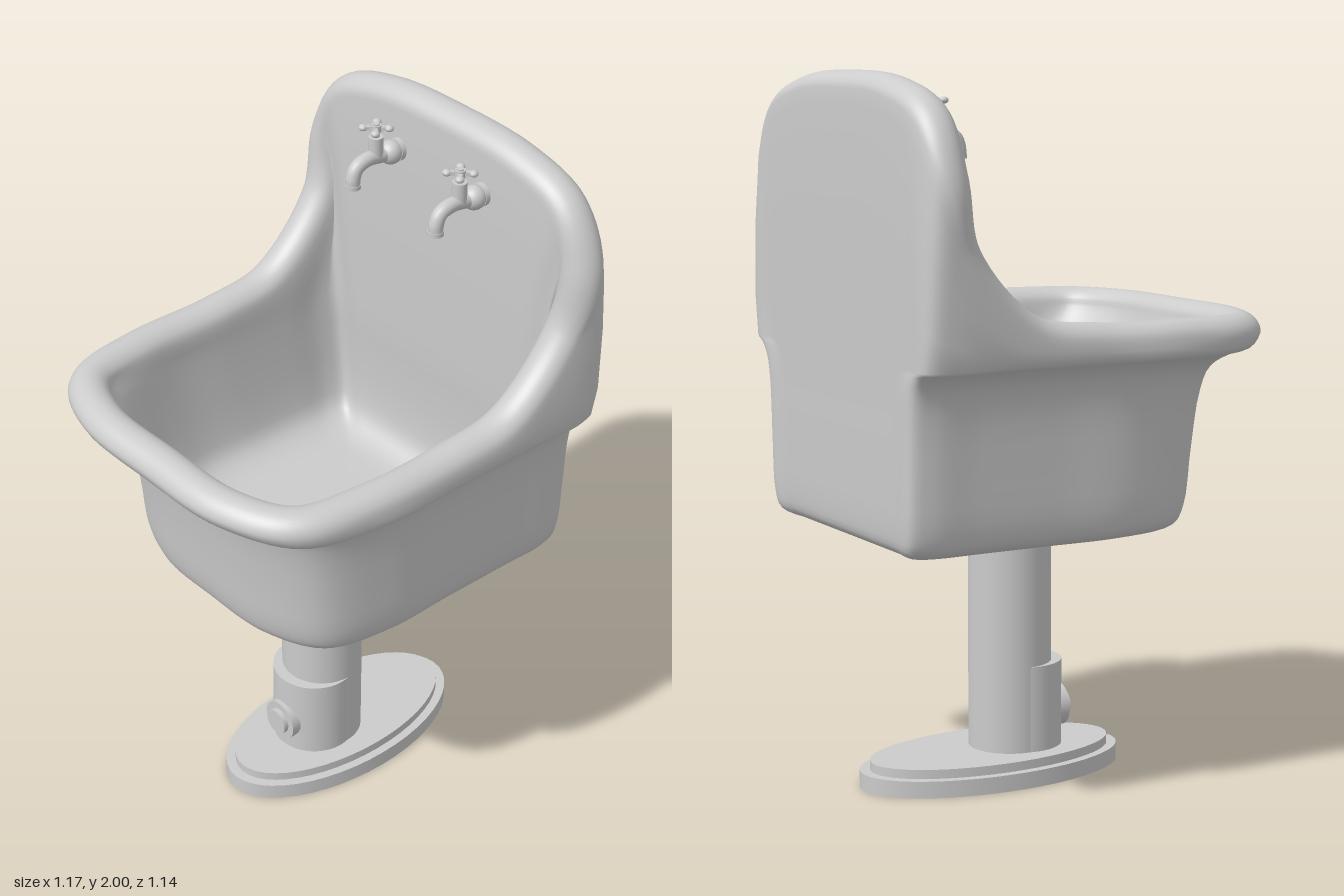
import * as THREE from 'three';

const V = (x, y, z) => new THREE.Vector3(x, y, z);
const COLS = 160, ROWS = 72;

// Closed smooth loop from its +z half (first and last points lie on z = 0)
function mirroredLoop(half) {
  const other = half.slice(1, -1).reverse().map(p => V(p.x, p.y, -p.z));
  return new THREE.CatmullRomCurve3([...half, ...other], true, 'centripetal');
}

// Plan of a rounded rectangle, front centre to back centre: [depth, half width]
const PLAN = [[0, 0], [0.012, 0.5], [0.1, 0.88], [0.3, 1], [0.55, 1], [0.8, 1],
  [0.94, 1], [1, 0.95], [1, 0.75], [1, 0.45], [1, 0]];

// Centre line of the rolled rim: level at the front, climbing round the splashback
const RIM = [[-0.525, 1.282, 0], [-0.515, 1.282, 0.27], [-0.43, 1.282, 0.44],
  [-0.22, 1.284, 0.49], [0.05, 1.288, 0.492], [0.27, 1.325, 0.495],
  [0.465, 1.53, 0.5], [0.505, 1.72, 0.508], [0.513, 1.87, 0.43],
  [0.515, 1.93, 0.26], [0.515, 1.945, 0]].map(p => V(...p));
// Direction pointing away from the bowl at each rim point
const OUT = [[-1, 0, 0], [-1, 0, 0.15], [-0.7, 0, 0.7], [-0.1, 0, 1], [0, 0, 1], [0, 0, 1],
  [0.1, 0, 1], [0.75, 0, 0.65], [1, 0, 0.1], [1, 0, 0], [1, 0, 0]].map(p => V(...p));

function sinkGeometry() {
  const planRing = ([y, x0, x1, w]) => {
    const curve = mirroredLoop(PLAN.map(([u, v]) => V(x0 + (x1 - x0) * u, y, w * v)));
    return i => curve.getPoint(i / COLS);
  };
  const rim = mirroredLoop(RIM), out = mirroredLoop(OUT);
  const rimRing = angle => i => {
    const t = i / COLS, T = rim.getTangent(t), O = out.getPoint(t);
    O.addScaledVector(T, -O.dot(T)).normalize();
    const N = O.clone().cross(T);
    return rim.getPoint(t).addScaledVector(N, 0.055 * Math.cos(angle))
      .addScaledVector(O, 0.06 * Math.sin(angle));
  };
  // Outside from below: y, front x, back x, half width
  const outer = [[0.73, 0.09, 0.11, 0.01], [0.73, -0.26, 0.46, 0.33], [0.733, -0.32, 0.53, 0.39],
    [0.755, -0.365, 0.565, 0.428], [0.81, -0.385, 0.575, 0.444], [0.95, -0.4, 0.577, 0.452],
    [1.12, -0.425, 0.577, 0.463], [1.19, -0.45, 0.577, 0.483], [1.225, -0.5, 0.577, 0.515],
    [1.245, -0.56, 0.577, 0.548]];
  // Inside of the bowl from the rim down
  const inner = [[1.22, -0.445, 0.45, 0.43], [1.1, -0.41, 0.455, 0.42], [0.95, -0.36, 0.455, 0.4],
    [0.87, -0.32, 0.44, 0.375], [0.83, -0.25, 0.39, 0.31], [0.82, -0.15, 0.3, 0.2],
    [0.82, 0.07, 0.09, 0.01]];
  const rolls = [90, 60, 30, 0, -30, -60, -90].map(a => rimRing(a * Math.PI / 180));
  const rings = [...outer.map(planRing), ...rolls, ...inner.map(planRing)];

  const pos = [], index = [];
  for (let i = 0; i < COLS; i++) {
    const column = new THREE.CatmullRomCurve3(rings.map(r => r(i)), false, 'centripetal');
    for (let j = 0; j <= ROWS; j++) {
      const p = column.getPoint(j / ROWS);
      pos.push(p.x, p.y, p.z);
      if (j === ROWS) continue;
      const a = i * (ROWS + 1) + j, b = ((i + 1) % COLS) * (ROWS + 1) + j;
      index.push(a, b, a + 1, b, b + 1, a + 1);
    }
  }
  // Close the tiny openings at the centres of the underside and the bowl floor
  for (let i = 1; i < COLS - 1; i++) {
    const a = i * (ROWS + 1), b = a + ROWS + 1;
    index.push(0, b, a, ROWS, a + ROWS, b + ROWS);
  }
  const g = new THREE.BufferGeometry();
  g.setAttribute('position', new THREE.Float32BufferAttribute(pos, 3));
  g.setIndex(index);
  g.computeVertexNormals();
  return g;
}

export function createModel() {
  const model = new THREE.Group();
  const material = new THREE.MeshStandardMaterial({ color: 0xcccccc });
  const add = (name, geometry, x = 0, y = 0, z = 0, parent = model) => {
    const mesh = new THREE.Mesh(geometry, material);
    mesh.name = name;
    mesh.position.set(x, y, z);
    parent.add(mesh);
    return mesh;
  };
  const cyl = (r, h, n = 40) => new THREE.CylinderGeometry(r, r, h, n);

  // Basin with rolled rim and splashback
  add('basin', sinkGeometry());

  // Oval stepped foot
  add('footLower', cyl(1, 0.048, 48), 0.097, 0.024, 0.01).scale.set(0.405, 1, 0.21);
  add('footUpper', cyl(1, 0.03, 48), 0.097, 0.059, 0.01).scale.set(0.375, 1, 0.185);

  // Pedestal column with collar, sleeve and side cap
  add('column', cyl(0.119, 0.67), 0.033, 0.4, 0.01);
  add('collarLower', cyl(0.135, 0.012), 0.033, 0.712, 0.01);
  add('collarUpper', cyl(0.15, 0.018), 0.033, 0.727, 0.01);
  add('sleeve', cyl(0.123, 0.25), 0.003, 0.197, 0.01);
  add('capFlange', cyl(0.062, 0.03, 28), -0.118, 0.17, 0.01).rotation.z = Math.PI / 2;
  add('capKnob', cyl(0.04, 0.03, 28), -0.133, 0.17, 0.01).rotation.z = Math.PI / 2;

  // Pair of taps
  const spoutPath = new THREE.CatmullRomCurve3([V(0.47, 1.828, 0), V(0.4, 1.828, 0),
    V(0.335, 1.835, 0), V(0.296, 1.822, 0), V(0.283, 1.795, 0), V(0.282, 1.77, 0)]);
  for (const z of [-0.155, 0.18]) {
    const tap = new THREE.Group();
    tap.name = 'tap';
    tap.position.z = z;
    model.add(tap);
    add('spout', new THREE.TubeGeometry(spoutPath, 28, 0.021, 16), 0, 0, 0, tap);
    add('spoutEnd', cyl(0.023, 0.012, 16), 0.282, 1.771, 0, tap);
    add('valveBall', new THREE.SphereGeometry(0.035, 20, 14), 0.42, 1.828, 0, tap);
    add('wallFlange', cyl(0.033, 0.03, 20), 0.45, 1.828, 0, tap).rotation.z = Math.PI / 2;
    add('stem', cyl(0.021, 0.06, 16), 0.365, 1.865, 0, tap);
    add('spindle', cyl(0.01, 0.05, 12), 0.365, 1.91, 0, tap);
    add('handleHub', cyl(0.015, 0.02, 16), 0.365, 1.921, 0, tap);
    // Cross handle with rounded ends
    for (let k = 0; k < 4; k++) {
      const a = Math.PI / 4 + k * Math.PI / 2, c = Math.cos(a), s = Math.sin(a);
      const arm = add('handleArm', new THREE.BoxGeometry(0.036, 0.011, 0.013),
        0.365 + 0.018 * c, 1.921, 0.018 * s, tap);
      arm.rotation.y = -a;
      add('handleEnd', new THREE.SphereGeometry(0.013, 12, 8),
        0.365 + 0.036 * c, 1.921, 0.036 * s, tap).scale.y = 0.75;
    }
  }
  return model;
}
